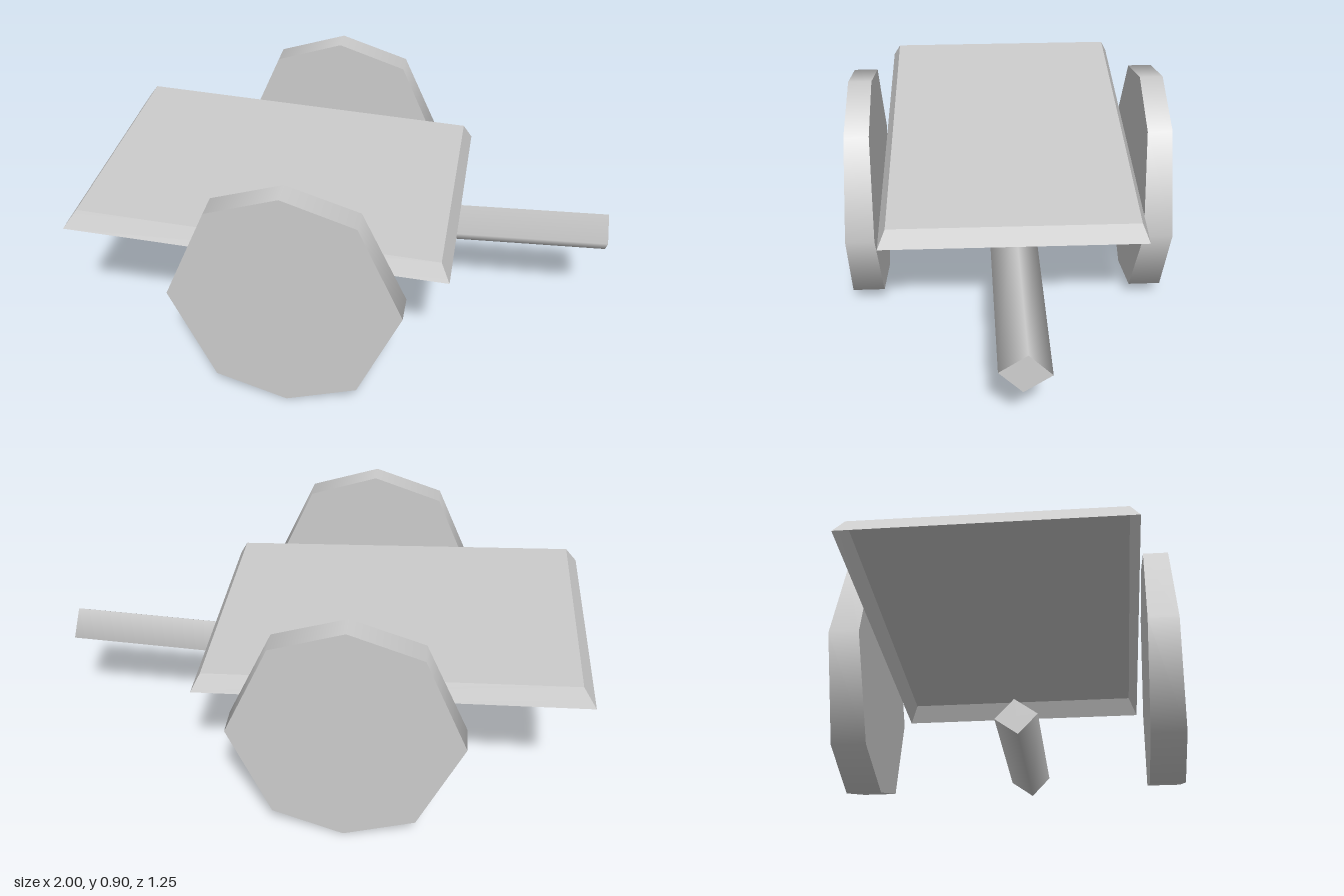
import * as THREE from 'three';

export function createModel() {
  const model = new THREE.Group();
  model.name = 'cart';
  const grey = new THREE.MeshStandardMaterial({ color: 0xcccccc, side: THREE.DoubleSide });
  grey.name = 'plain grey';

  function add(name, geometry) {
    const mesh = new THREE.Mesh(geometry, grey);
    mesh.name = name;
    model.add(mesh);
    return mesh;
  }

  // Bed: shallow upside-down tray with flared walls, open underneath, sloping to +x
  const bed = new THREE.BoxGeometry(1, 1, 1);
  const p = bed.attributes.position;
  for (let i = 0; i < p.count; i++) {
    const top = p.getY(i) > 0;
    const sx = p.getX(i), sz = p.getZ(i);
    const x = top ? -0.275 + sx * 1.34 : -0.283 + sx * 1.424;
    const z = top ? -0.016 + sz * 0.93 : -0.015 + sz * 0.99;
    const y = top ? 0.623 - sx * 0.064 : 0.555 - sx * 0.062;
    p.setXYZ(i, x - 0.007 * z, y, z + 0.007 * (x + 0.28));
  }
  const faces = Array.from(bed.index.array);
  faces.splice(18, 6); // leave the underside open
  bed.setIndex(faces);
  bed.clearGroups();
  bed.computeVertexNormals();
  add('bed', bed);

  // Wheels: solid eight-sided discs, a little thicker at the bottom
  function wheelGeometry() {
    const g = new THREE.CylinderGeometry(1, 1, 1, 8).rotateX(Math.PI / 2);
    const q = g.attributes.position;
    for (let i = 0; i < q.count; i++) {
      let x = q.getX(i), y = q.getY(i);
      const diagonal = Math.abs(x) > 0.1 && Math.abs(y) > 0.1;
      x *= diagonal ? 0.375 : 0.427;
      y = 0.45 + y * (diagonal ? 0.513 : 0.45);
      const t = y / 0.9;
      const z = q.getZ(i) > 0 ? 0.627 - 0.028 * t : 0.497 + 0.013 * t;
      q.setXYZ(i, x, y, z + 0.007 * x);
    }
    return g;
  }
  add('frontWheel', wheelGeometry()).position.set(-0.149, 0, 0);
  add('backWheel', wheelGeometry()).position.set(-0.136, 0, -1.123);

  // Pole: four-sided bar standing on its edge, rising slightly toward +x
  const pole = new THREE.CylinderGeometry(1, 1, 0.85, 4)
    .rotateZ(-Math.PI / 2)
    .scale(1, 0.078, 0.09)
    .rotateX(-0.1)
    .rotateZ(0.037)
    .translate(0.572, 0.431, -0.017);
  add('pole', pole);

  return model;
}
